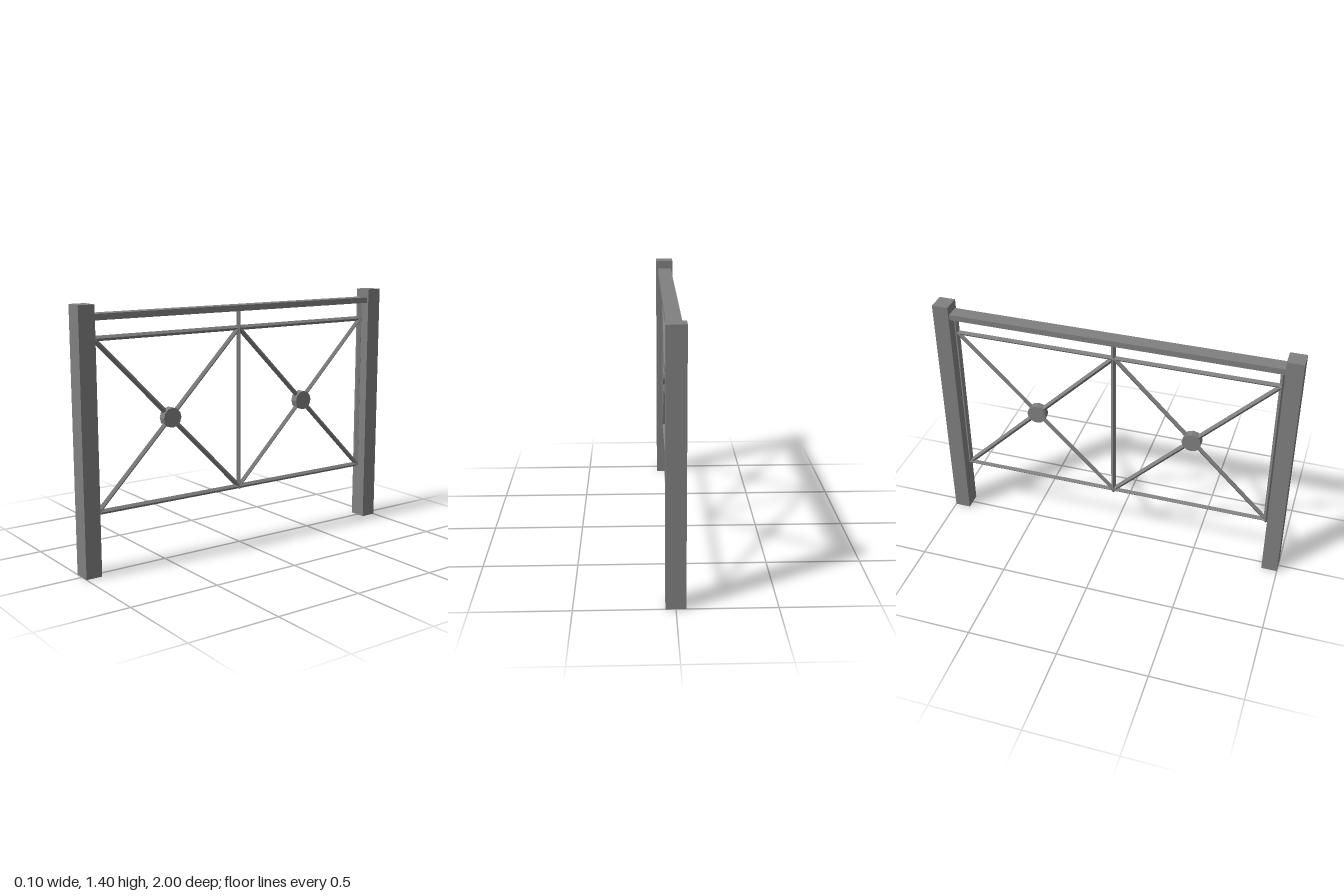
import * as THREE from 'three';

export function createModel() {
  const model = new THREE.Group();
  const grey = new THREE.MeshStandardMaterial({ color: 0x808080, flatShading: true, side: THREE.DoubleSide });
  grey.name = 'steelGrey';

  const add = (name, geometry, x = 0, y = 0, z = 0) => {
    const mesh = new THREE.Mesh(geometry, grey);
    mesh.name = name;
    mesh.position.set(x, y, z);
    model.add(mesh);
    return mesh;
  };

  // Thin square bar set on edge, running between two points of the x = 0 plane
  const bar = (name, y1, z1, y2, z2) => {
    const a = new THREE.Vector3(0, y1, z1), b = new THREE.Vector3(0, y2, z2);
    const dir = b.clone().sub(a);
    const mesh = add(name, new THREE.CylinderGeometry(0.014, 0.014, dir.length(), 4));
    mesh.position.copy(a).add(b).multiplyScalar(0.5);
    mesh.rotation.x = Math.atan2(dir.z, dir.y);
  };

  // Hollow posts: four walls and a cap, open underneath
  for (const s of [1, -1]) {
    const post = new THREE.BoxGeometry(0.1, 1.4, 0.09);
    const index = Array.from(post.index.array);
    index.splice(18, 6); // bottom face
    post.setIndex(index);
    post.clearGroups();
    add(s > 0 ? 'frontPost' : 'backPost', post, 0, 0.7, s * 0.955);
  }

  // Flat handrail
  add('handrail', new THREE.BoxGeometry(0.08, 0.032, 1.82), 0, 1.336, 0);

  // Frame of upright and level bars
  const low = 0.329, high = 1.226, mid = 0.005;
  const ends = [0.897, -0.89];
  for (const z of [ends[0], mid, ends[1]]) bar('upright', 0.315, z, 1.325, z);
  for (const y of [low, high]) bar('levelBar', y, ends[0], y, ends[1]);

  // Crossed braces with a round boss in each bay
  for (const end of ends) {
    bar('brace', low, end, high, mid);
    bar('brace', high, end, low, mid);
    const boss = add('boss', new THREE.CylinderGeometry(0.054, 0.054, 0.044, 12),
      0, (low + high) / 2, (end + mid) / 2);
    boss.rotation.z = Math.PI / 2;
  }
  return model;
}
